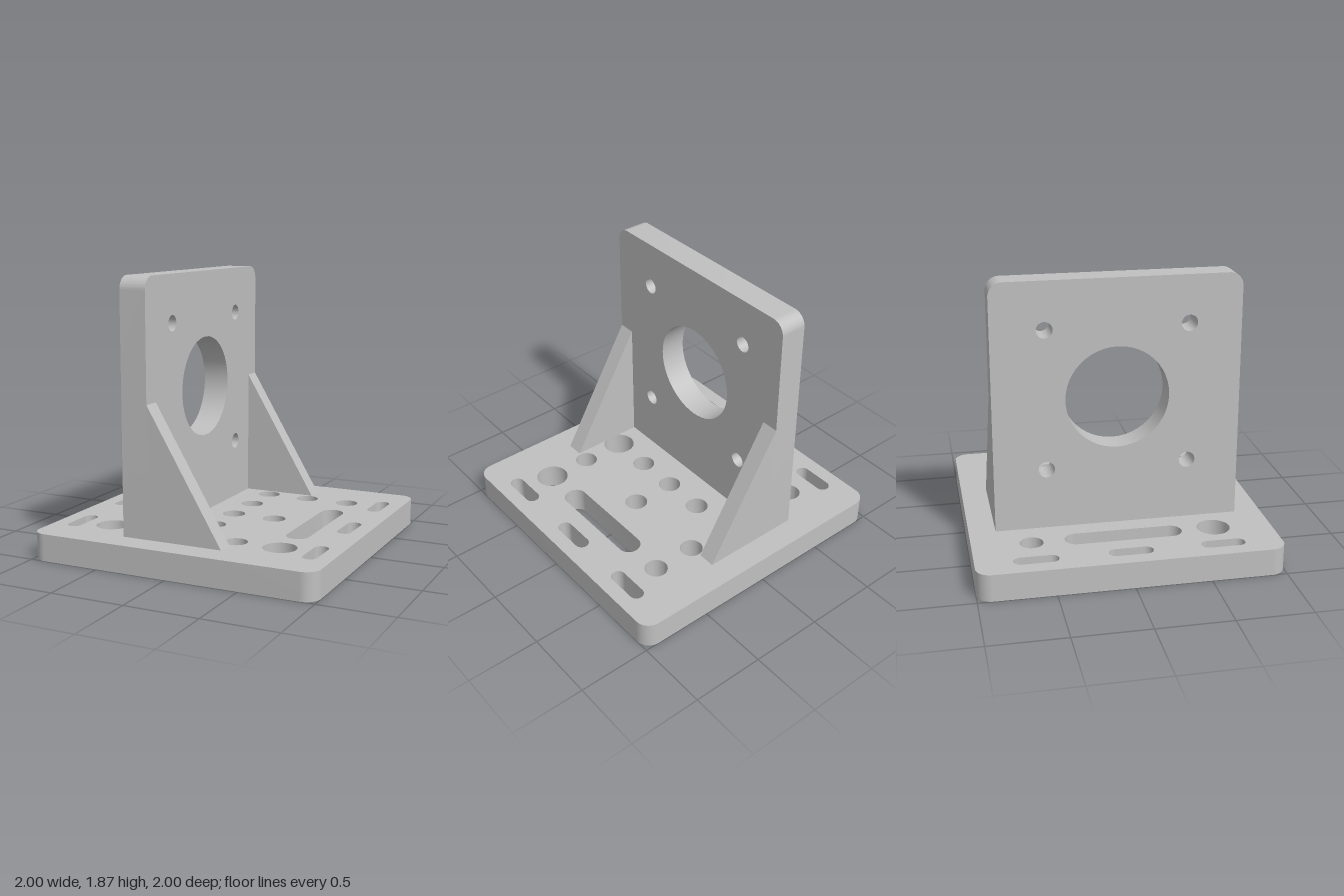
import * as THREE from 'three';
import { toCreasedNormals } from 'three/addons/utils/BufferGeometryUtils.js';

const BASE_H = 0.183;

// Rectangle with separate corner radii for the top and bottom edges
function roundedRect(x0, y0, x1, y1, rBottom, rTop) {
  const s = new THREE.Shape();
  const corner = (x, y, r, a) => {
    if (r > 0) s.absarc(x, y, r, a, a + Math.PI / 2, false);
    else s.lineTo(x, y);
  };
  s.moveTo(x0 + rBottom, y0);
  corner(x1 - rBottom, y0 + rBottom, rBottom, -Math.PI / 2);
  corner(x1 - rTop, y1 - rTop, rTop, 0);
  corner(x0 + rTop, y1 - rTop, rTop, Math.PI / 2);
  corner(x0 + rBottom, y0 + rBottom, rBottom, Math.PI);
  s.closePath();
  return s;
}

function roundHole(shape, x, y, r) {
  shape.holes.push(new THREE.Path().absarc(x, y, r, 0, Math.PI * 2, true));
}

// Slot with round ends, running along the shape's y axis
function slotHole(shape, x, y, halfLength, r) {
  const p = new THREE.Path();
  const d = halfLength - r;
  p.absarc(x, y + d, r, 0, Math.PI, false);
  p.absarc(x, y - d, r, Math.PI, Math.PI * 2, false);
  p.closePath();
  shape.holes.push(p);
}

function extrude(shape, depth) {
  return new THREE.ExtrudeGeometry(shape, { depth, bevelEnabled: false, curveSegments: 24 });
}

export function createModel() {
  const group = new THREE.Group();
  const metal = new THREE.MeshStandardMaterial({ color: 0xc0c0c0 });
  metal.name = 'light grey metal';
  const add = (name, geometry) => {
    const mesh = new THREE.Mesh(toCreasedNormals(geometry, 0.5), metal);
    mesh.name = name;
    group.add(mesh);
    return mesh;
  };

  // Base plate, drawn from above: shape y is -z
  const base = roundedRect(-1, -1, 1, 1, 0.1, 0.1);
  for (const side of [-1, 1]) {
    for (const z of [-0.61, 0, 0.61]) slotHole(base, side * 0.85, -z, 0.146, 0.048);
    slotHole(base, side * 0.61, 0, 0.392, 0.078);
  }
  const smallHoles = [
    [-0.61, -0.61], [0, -0.61], [0.305, -0.61], [0.61, -0.61],
    [0, -0.305], [0, 0], [0.305, 0], [0, 0.305], [0.305, 0.61],
  ];
  for (const [x, z] of smallHoles) roundHole(base, x, -z, 0.078);
  for (const x of [-0.61, 0, 0.61]) roundHole(base, x, -0.61, 0.111);
  add('basePlate', extrude(base, BASE_H).rotateX(-Math.PI / 2));

  // Upright motor plate with a large bore and four screw holes
  const upright = roundedRect(-0.822, BASE_H, 0.822, 1.865, 0, 0.09);
  roundHole(upright, 0, 1.07, 0.344);
  for (const z of [-0.473, 0.473])
    for (const y of [0.598, 1.545]) roundHole(upright, z, y, 0.054);
  add('uprightPlate', extrude(upright, 0.183).rotateY(Math.PI / 2).translate(-0.4, 0, 0));

  // Triangular gussets at both ends of the upright
  const gusset = new THREE.Shape();
  gusset.moveTo(-0.217, BASE_H);
  gusset.lineTo(0.302, BASE_H);
  gusset.lineTo(-0.217, 1.06);
  gusset.closePath();
  add('frontGusset', extrude(gusset, 0.12).translate(0, 0, 0.702));
  add('backGusset', extrude(gusset, 0.12).translate(0, 0, -0.822));

  return group;
}
